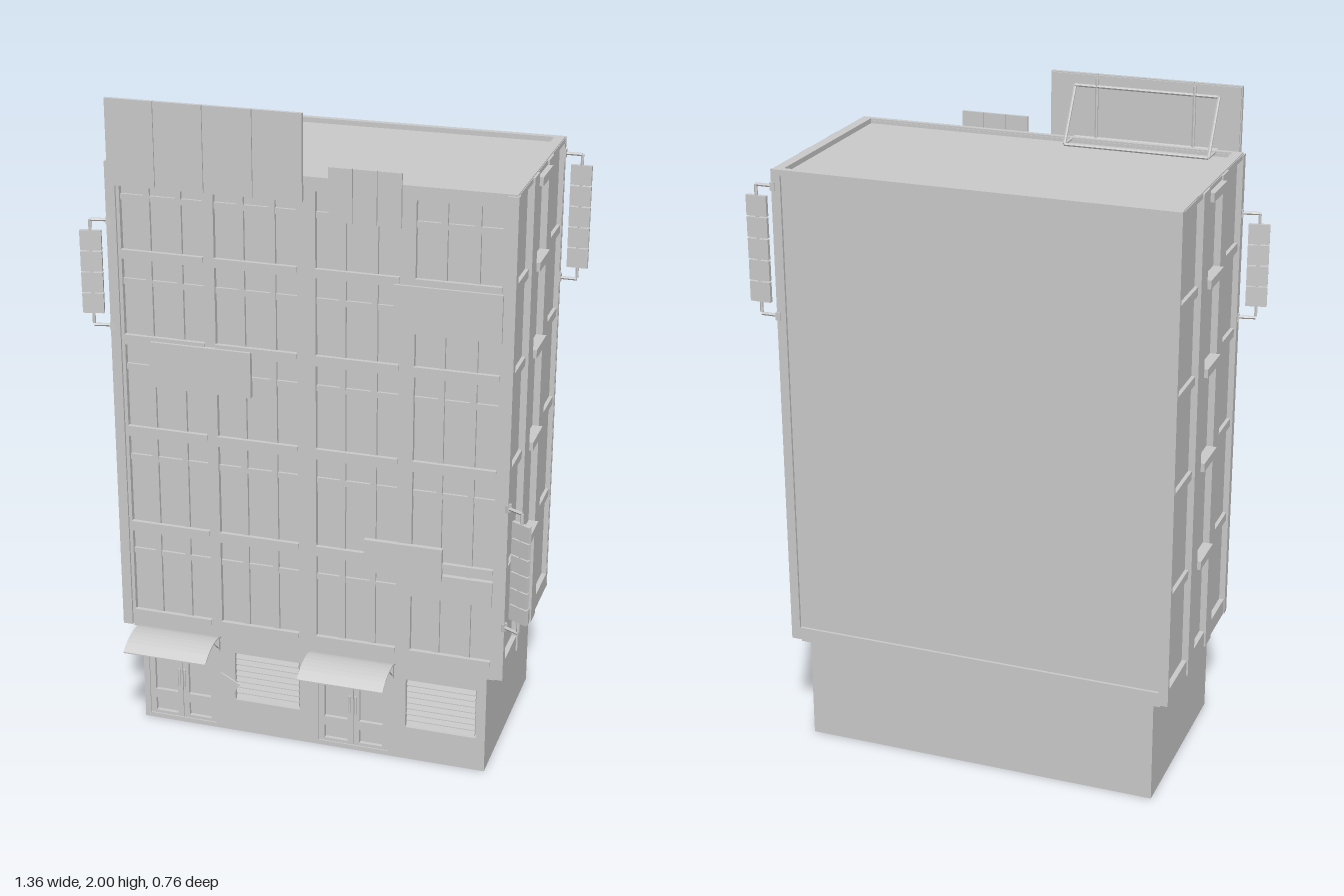
import * as THREE from 'three';

const grey = new THREE.MeshStandardMaterial({ color: 0xcccccc, flatShading: true, side: THREE.DoubleSide });

function add(parent, name, geometry) {
  const mesh = new THREE.Mesh(geometry, grey);
  mesh.name = name;
  parent.add(mesh);
  return mesh;
}

// Box given by its limits on each axis
function box(parent, name, x0, x1, y0, y1, z0, z1) {
  const m = add(parent, name, new THREE.BoxGeometry(x1 - x0, y1 - y0, z1 - z0));
  m.position.set((x0 + x1) / 2, (y0 + y1) / 2, (z0 + z1) / 2);
  return m;
}

// Flat plate with rectangular openings [u0, u1, v0, v1]
function plate(outer, holes, depth) {
  const trace = (p, [a, b, c, d]) => p.moveTo(a, c).lineTo(b, c).lineTo(b, d).lineTo(a, d).closePath();
  const shape = trace(new THREE.Shape(), outer);
  holes.forEach(h => shape.holes.push(trace(new THREE.Path(), h)));
  return new THREE.ExtrudeGeometry(shape, { depth, bevelEnabled: false });
}

// Straight rod between two points
function rod(parent, name, a, b, r = 0.005) {
  const p = new THREE.Vector3(...a), d = new THREE.Vector3(...b).sub(p);
  const m = add(parent, name, new THREE.CylinderGeometry(r, r, d.length(), 6));
  m.position.copy(p).addScaledVector(d, 0.5);
  m.quaternion.setFromUnitVectors(new THREE.Vector3(0, 1, 0), d.normalize());
}

// Stack of small panels hung from a wall on two bent pipes
function hangingSign(parent, x, z, turn, y0, y1, count) {
  const g = new THREE.Group();
  g.name = 'hangingSign';
  g.position.set(x, 0, z);
  g.rotation.y = turn;
  const step = (y1 - y0) / count;
  for (let i = 0; i < count; i++)
    box(g, 'signPanel', 0.022, 0.085, y0 + i * step + 0.002, y0 + (i + 1) * step - 0.002, -0.006, 0.006);
  rod(g, 'signPole', [0.054, y0 - 0.03, 0], [0.054, y1 + 0.03, 0]);
  for (const y of [y0 - 0.035, y1 + 0.03]) {
    rod(g, 'signArm', [-0.01, y, 0], [0.054, y, 0]);
    box(g, 'wallBracket', -0.008, 0.006, y - 0.012, y + 0.012, -0.01, 0.01);
  }
  parent.add(g);
}

// Glazed double door in a shallow recess
function door(parent, x0, x1) {
  const g = new THREE.Group();
  g.name = 'shopDoor';
  const mid = (x0 + x1) / 2;
  for (const [a, b] of [[x0, mid - 0.001], [mid + 0.001, x1]]) {
    const leaf = add(g, 'doorLeaf', plate([a, b, 0.015, 0.31],
      [[a + 0.018, b - 0.018, 0.1, 0.295], [a + 0.018, b - 0.018, 0.025, 0.07]], 0.012));
    leaf.position.z = 0.214;
  }
  for (const s of [-1, 1]) rod(g, 'doorHandle', [mid + s * 0.009, 0.13, 0.236], [mid + s * 0.009, 0.19, 0.236], 0.004);
  parent.add(g);
}

// Rolled shop shutter: slats over a plain sill panel
function shutter(parent, x0, x1) {
  const g = new THREE.Group();
  g.name = 'shopShutter';
  for (let i = 0; i < 8; i++) {
    const s = box(g, 'shutterSlat', x0 + 0.004, x1 - 0.004, 0.115 + i * 0.02, 0.13 + i * 0.02, 0.22, 0.228);
    s.rotation.x = -0.35;
  }
  parent.add(g);
}

// Curved awning with its side arms
function awning(parent, x0, x1) {
  const curve = new THREE.CatmullRomCurve3([[0.235, 0.328], [0.265, 0.338], [0.305, 0.339], [0.345, 0.329], [0.38, 0.307]]
    .map(([z, y]) => new THREE.Vector3(0, y, z)));
  const top = curve.getPoints(10);
  const shape = new THREE.Shape([...top, ...top.slice().reverse().map(p => new THREE.Vector3(0, p.y - 0.004, p.z))]
    .map(p => new THREE.Vector2(-p.z, p.y)));
  const geo = new THREE.ExtrudeGeometry(shape, { depth: x1 - x0, bevelEnabled: false });
  geo.rotateY(Math.PI / 2);
  add(parent, 'awning', geo).position.x = x0;
  for (const x of [x0 + 0.006, x1 - 0.01]) {
    box(parent, 'awningBracket', x - 0.003, x + 0.003, 0.275, 0.33, 0.228, 0.24);
    rod(parent, 'awningArm', [x, 0.285, 0.236], [x, 0.333, 0.29], 0.002);
  }
}

export function createModel() {
  const model = new THREE.Group();
  model.name = 'building';

  // Ground floor and the stepped ledge under the upper block
  box(model, 'groundFloor', -0.548, 0.548, 0, 0.33, -0.355, 0.212);
  const doors = [[-0.53, -0.31], [0.025, 0.245]], shutters = [[-0.245, -0.035], [0.3, 0.52]];
  const shopFront = add(model, 'shopFront', plate([-0.548, 0.548, 0, 0.33],
    [...doors.map(d => [...d, 0.015, 0.31]), ...shutters.map(s => [...s, 0.11, 0.275])], 0.018));
  shopFront.position.z = 0.212;
  doors.forEach(d => door(model, ...d));
  shutters.forEach(s => shutter(model, ...s));
  awning(model, -0.55, -0.285);
  awning(model, 0.005, 0.27);
  box(model, 'ledge', -0.572, 0.572, 0.322, 0.34, -0.368, 0.237);
  const smallSign = box(model, 'tiltedSign', -0.305, -0.237, 0.135, 0.19, 0.235, 0.241);
  smallSign.rotation.z = -0.5;

  // Upper block
  box(model, 'upperBlock', -0.582, 0.582, 0.335, 1.8, -0.373, 0.232);

  // Roof parapet
  const parapet = add(model, 'parapet', plate([-0.595, 0.595, -0.248, 0.378], [[-0.565, 0.565, -0.232, 0.36]], 0.02));
  parapet.rotation.x = -Math.PI / 2;
  parapet.position.y = 1.795;

  // Front frame: four bays by five floors of window openings
  const bays = [[-0.56, -0.31], [-0.277, -0.03], [0.025, 0.27], [0.315, 0.56]];
  const floors = [[0.385, 0.655], [0.685, 0.968], [0.998, 1.258], [1.287, 1.522], [1.547, 1.775]];
  const openings = bays.flatMap(b => floors.map(f => [...b, ...f]));
  add(model, 'frontFrame', plate([-0.598, 0.598, 0.335, 1.81], openings, 0.018)).position.z = 0.23;
  for (const [x0, x1, y0, y1] of openings) {
    const w = x1 - x0, bar = y1 - 0.07;
    for (const t of [0.32, 0.7]) {
      const x = x0 + w * t;
      box(model, 'mullion', x - 0.009, x + 0.009, y0, y1, 0.23, 0.242);
    }
    box(model, 'transom', x0, x1, bar - 0.009, bar + 0.009, 0.23, 0.24);
    box(model, 'windowSill', x0, x1, y0 - 0.012, y0 + 0.004, 0.24, 0.253);
  }
  for (const s of [-1, 1]) box(model, 'cornerStrip', s * 0.585 - 0.015, s * 0.585 + 0.015, 0.335, 1.81, 0.23, 0.255);

  // Back frame
  add(model, 'backFrame', plate([-0.598, 0.598, 0.335, 1.815], [[-0.57, 0.57, 0.375, 1.8]], 0.01)).position.z = -0.381;

  // Side frames, floor bars and projecting ledges
  const beams = [0.67, 0.983, 1.272, 1.535];
  const columns = [[-0.365, -0.187], [-0.125, 0.005], [0.065, 0.232]];
  for (const s of [-1, 1]) {
    const frame = add(model, 'sideFrame', plate([-0.381, 0.248, 0.335, 1.812],
      columns.map(c => [...c, 0.385, 1.798]), 0.016));
    frame.rotation.y = -Math.PI / 2;
    frame.position.x = s > 0 ? 0.597 : -0.581;
    for (const [i, [z0, z1]] of columns.entries()) {
      const out = i === 1 ? 0.613 : 0.593;
      for (const y of i === 1 ? [...beams, 1.785] : beams)
        box(model, i === 1 ? 'sideLedge' : 'sideBar', Math.min(s * 0.575, s * out), Math.max(s * 0.575, s * out),
          y - 0.013, y + 0.013, z0, z1);
    }
    for (const [z0, z1] of [[-0.187, -0.125], [0.005, 0.065]])
      box(model, 'sidePilaster', s * 0.595 - 0.007, s * 0.595 + 0.007, 0.335, 1.812, z0, z1);
  }

  // Rooftop billboard with its propping frame
  for (let i = 0; i < 4; i++)
    box(model, 'billboardPanel', -0.58 + i * 0.145, -0.437 + i * 0.145, 1.75, 2, 0.27, 0.282);
  box(model, 'billboardBacking', -0.577, -0.003, 1.753, 1.997, 0.266, 0.272);
  const [bx0, bx1] = [-0.512, -0.078];
  for (const x of [bx0, bx1]) {
    rod(model, 'billboardProp', [x, 1.81, 0.17], [x, 1.965, 0.265]);
    rod(model, 'billboardFoot', [x, 1.81, 0.17], [x, 1.81, 0.265]);
  }
  for (const [y, z] of [[1.81, 0.17], [1.965, 0.263], [1.81, 0.263]])
    rod(model, 'billboardRail', [bx0, y, z], [bx1, y, z]);
  for (const x of [-0.44, -0.145]) rod(model, 'billboardPost', [x, 1.75, 0.263], [x, 1.99, 0.263]);

  // Three-panel sign at the roof edge
  for (let i = 0; i < 3; i++)
    box(model, 'roofEdgeSign', 0.072 + i * 0.07, 0.14 + i * 0.07, 1.7, 1.855, 0.267, 0.276);
  for (const x of [0.11, 0.24]) box(model, 'signBracket', x - 0.005, x + 0.005, 1.75, 1.762, 0.24, 0.27);

  // Flat signs on the facade
  for (const [x0, x1, y0, y1, z] of [
    [0.255, 0.565, 1.39, 1.53, 0.252], [-0.475, -0.168, 1.14, 1.28, 0.258],
    [0.175, 0.41, 0.635, 0.737, 0.257], [0.315, 0.56, 0.57, 0.65, 0.25]])
    box(model, 'wallSign', x0, x1, y0, y1, z - 0.012, z + 0.004);

  // Hanging signs at three corners
  hangingSign(model, 0.597, 0.247, -0.49, 0.545, 0.862, 6);
  hangingSign(model, -0.597, 0.247, Math.PI + 0.22, 1.35, 1.605, 4);
  hangingSign(model, 0.595, -0.375, 0, 1.415, 1.735, 5);

  return model;
}
